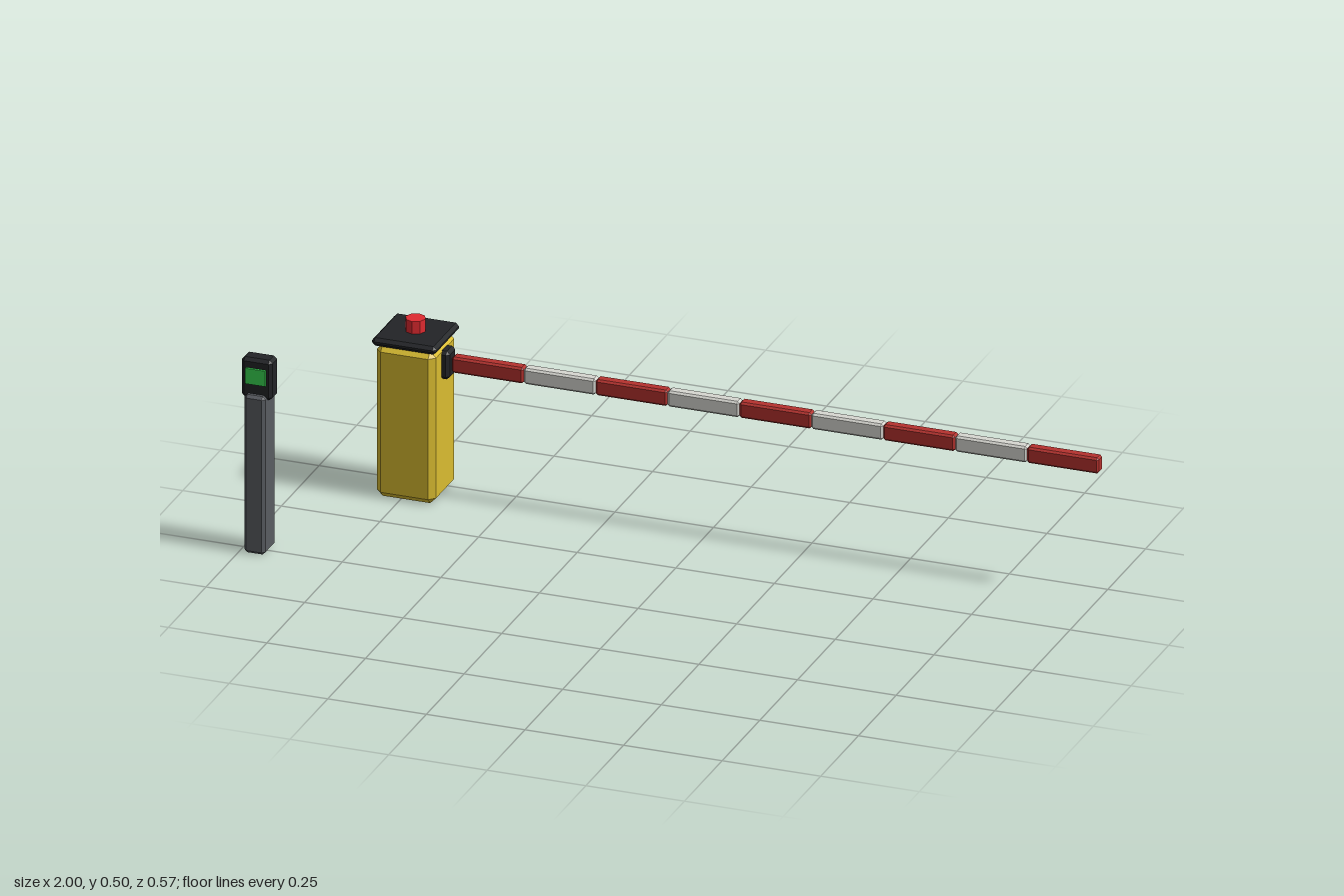
import * as THREE from 'three';
import { ConvexGeometry } from 'three/addons/geometries/ConvexGeometry.js';

const mat = (color) => new THREE.MeshStandardMaterial({ color, flatShading: true });
const yellow = mat(0xd9bc30), black = mat(0x222427), grey = mat(0x595c61);
const red = mat(0xb5322e), white = mat(0xd8d8d2), beaconRed = mat(0xe02a30), green = mat(0x38d652);

// Box with every edge bevelled by c
function chamferBox(w, h, d, c) {
  const points = [];
  for (const x of [-1, 1]) for (const y of [-1, 1]) for (const z of [-1, 1]) {
    for (let face = 0; face < 3; face++) {
      points.push(new THREE.Vector3(
        x * (w / 2 - (face === 0 ? 0 : c)),
        y * (h / 2 - (face === 1 ? 0 : c)),
        z * (d / 2 - (face === 2 ? 0 : c))));
    }
  }
  return new ConvexGeometry(points);
}

function part(parent, name, geometry, material, x, y, z) {
  const mesh = new THREE.Mesh(geometry, material);
  mesh.name = name;
  mesh.position.set(x, y, z);
  parent.add(mesh);
  return mesh;
}

export function createModel() {
  const model = new THREE.Group();
  model.name = 'parkingBarrier';

  // Drive cabinet with lid, beacon and arm hub
  const cabinet = new THREE.Group();
  cabinet.name = 'cabinet';
  cabinet.position.set(-0.737, 0, -0.202);
  model.add(cabinet);
  part(cabinet, 'cabinetBody', chamferBox(0.15, 0.394, 0.15, 0.015), yellow, 0, 0.197, 0);
  part(cabinet, 'cabinetLid', chamferBox(0.164, 0.021, 0.164, 0.008), black, 0, 0.404, 0);
  part(cabinet, 'beacon', new THREE.CylinderGeometry(0.025, 0.025, 0.034, 8), beaconRed, 0, 0.43, 0);
  part(cabinet, 'armHub', chamferBox(0.038, 0.073, 0.05, 0.008), black, 0.075, 0.344, 0);

  // Striped boom arm
  const arm = new THREE.Group();
  arm.name = 'boomArm';
  model.add(arm);
  const pitch = 0.1823;
  const segment = chamferBox(pitch, 0.041, 0.03, 0.005);
  for (let i = 0; i < 9; i++) {
    part(arm, i % 2 ? 'whiteStripe' : 'redStripe', segment, i % 2 ? white : red,
      1 - pitch * (8.5 - i), 0.345, -0.202);
  }

  // Ticket post with reader head and green display
  const post = new THREE.Group();
  post.name = 'ticketPost';
  post.position.set(-0.961, 0, 0.247);
  model.add(post);
  part(post, 'postColumn', chamferBox(0.053, 0.41, 0.074, 0.007), grey, 0, 0.205, 0);
  part(post, 'readerHead', chamferBox(0.078, 0.104, 0.045, 0.008), black, 0, 0.448, 0);
  part(post, 'displayLight', new THREE.BoxGeometry(0.051, 0.04, 0.015), green, 0, 0.456, 0.021);

  return model;
}
